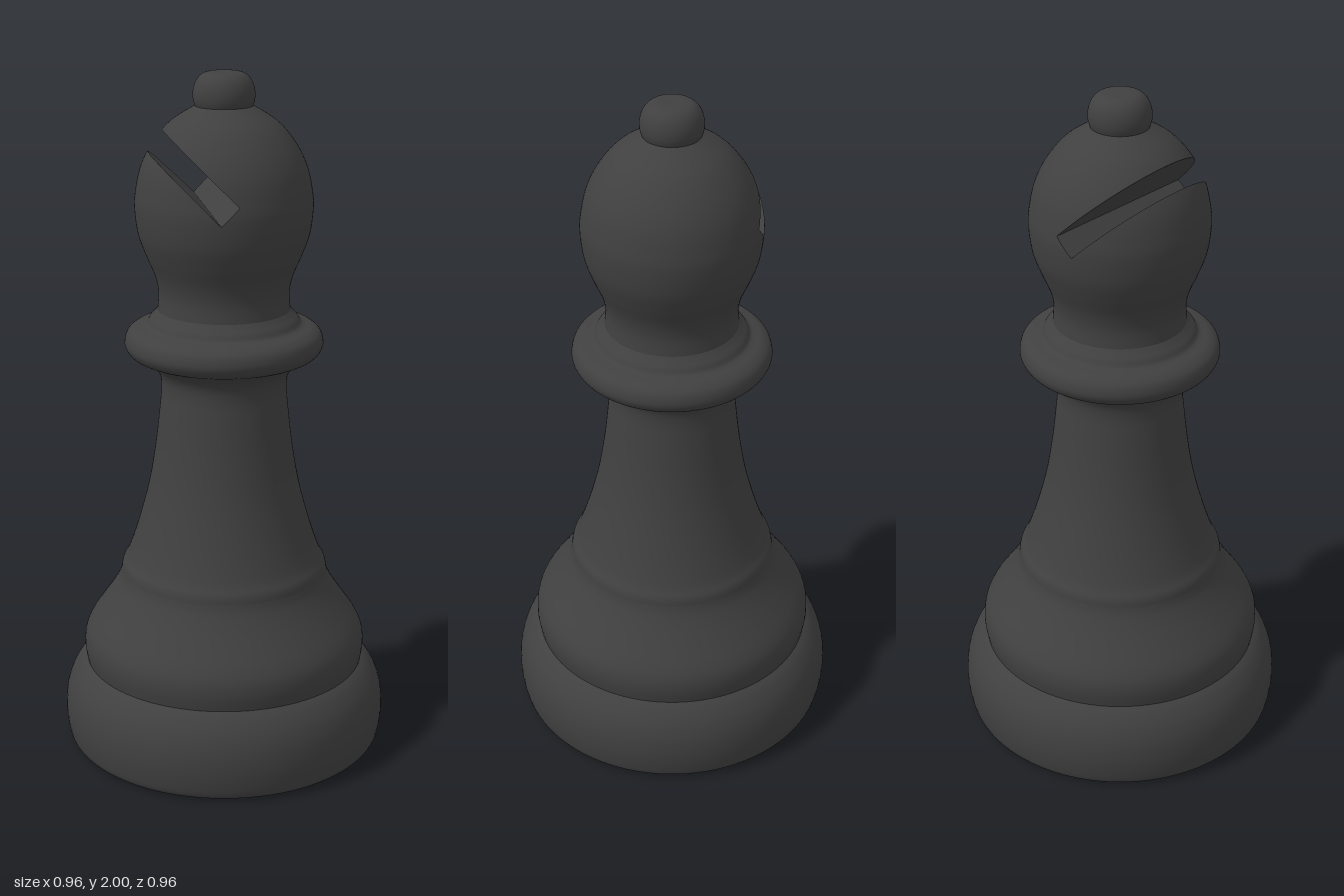
import * as THREE from 'three';

const SEGMENTS = 96;
const material = new THREE.MeshStandardMaterial({ color: 0x404040 });

// Smooth profile through [radius, height] points, listed from bottom to top
function profile(points, samples) {
  const curve = new THREE.SplineCurve(points.map(([r, y]) => new THREE.Vector2(r, y)));
  return curve.getPoints(samples).map((p) => p.setX(Math.max(p.x, 0)));
}

function turned(name, points, samples = 40) {
  const mesh = new THREE.Mesh(new THREE.LatheGeometry(profile(points, samples), SEGMENTS), material);
  mesh.name = name;
  return mesh;
}

// Slot limits: between two 45 degree planes (x + y) and above a floor (y - x)
const SLOT = { low: 1.57, high: 1.67, floor: 1.667 };
const slotPlanes = [
  (p) => p[0] + p[1] - SLOT.low,
  (p) => SLOT.high - p[0] - p[1],
  (p) => p[1] - p[0] - SLOT.floor,
];

// Part of a polygon on the positive side of a plane (vertices are [x,y,z,nx,ny,nz])
function clip(poly, dist) {
  const out = [];
  poly.forEach((a, i) => {
    const b = poly[(i + 1) % poly.length];
    const da = dist(a), db = dist(b);
    if (da >= 0) out.push(a);
    if (da * db < 0) out.push(a.map((v, k) => v + (b[k] - v) * (da / (da - db))));
  });
  return out;
}

// Removes the slot volume from a geometry's surface
function cutSlot(source) {
  const g = source.toNonIndexed();
  const { position, normal } = g.attributes;
  const pos = [], nor = [];
  const emit = (poly) => {
    for (let i = 1; i + 1 < poly.length; i++) {
      for (const v of [poly[0], poly[i], poly[i + 1]]) {
        pos.push(v[0], v[1], v[2]);
        nor.push(v[3], v[4], v[5]);
      }
    }
  };
  for (let i = 0; i < position.count; i += 3) {
    let poly = [0, 1, 2].map((k) => [
      ...new THREE.Vector3().fromBufferAttribute(position, i + k),
      ...new THREE.Vector3().fromBufferAttribute(normal, i + k),
    ]);
    const inSlot = slotPlanes.reduce(clip, poly);
    if (inSlot.length < 3) { emit(poly); continue; }
    for (const plane of slotPlanes) {
      emit(clip(poly, (p) => -plane(p)));
      poly = clip(poly, plane);
    }
  }
  const out = new THREE.BufferGeometry();
  out.setAttribute('position', new THREE.Float32BufferAttribute(pos, 3));
  out.setAttribute('normal', new THREE.Float32BufferAttribute(nor, 3));
  return out;
}

// Flat slot face spanning the head in z, following a line in the xy plane
function slotFace(name, from, to, radiusAt, steps) {
  const pos = [], index = [];
  for (let i = 0; i <= steps; i++) {
    const x = THREE.MathUtils.lerp(from[0], to[0], i / steps);
    const y = THREE.MathUtils.lerp(from[1], to[1], i / steps);
    const w = Math.sqrt(Math.max(radiusAt(y) ** 2 - x * x, 0));
    pos.push(x, y, w, x, y, -w);
    const a = 2 * i;
    if (i < steps) index.push(a, a + 2, a + 1, a + 1, a + 2, a + 3);
  }
  const g = new THREE.BufferGeometry();
  g.setAttribute('position', new THREE.Float32BufferAttribute(pos, 3));
  g.setIndex(index);
  g.computeVertexNormals();
  const wallMaterial = material.clone();
  wallMaterial.side = THREE.DoubleSide;
  const mesh = new THREE.Mesh(g, wallMaterial);
  mesh.name = name;
  return mesh;
}

function createHead() {
  const head = new THREE.Group();
  head.name = 'head';
  const points = profile([
    [0.19, 1.33], [0.187, 1.38], [0.197, 1.43], [0.222, 1.49], [0.243, 1.55], [0.252, 1.62],
    [0.249, 1.67], [0.233, 1.74], [0.2, 1.805], [0.15, 1.863], [0.08, 1.908],
  ], 60);
  const shell = new THREE.Mesh(cutSlot(new THREE.LatheGeometry(points, SEGMENTS)), material);
  shell.name = 'headShell';
  head.add(shell);

  const radiusAt = (y) => {
    const i = Math.max(1, points.findIndex((p) => p.y >= y));
    const a = points[i - 1], b = points[i];
    return a.x + (b.x - a.x) * (y - a.y) / (b.y - a.y);
  };
  // Point on a slot wall, given x + y and y - x
  const at = (sum, diff) => [(sum - diff) / 2, (sum + diff) / 2];
  // Where a slot wall meets the outside of the head
  const rim = (sum) => {
    let inside = SLOT.floor, outside = 2.1;
    for (let i = 0; i < 40; i++) {
      const mid = (inside + outside) / 2;
      const [x, y] = at(sum, mid);
      if (radiusAt(y) > Math.abs(x)) inside = mid;
      else outside = mid;
    }
    return at(sum, inside);
  };
  const lowIn = at(SLOT.low, SLOT.floor), highIn = at(SLOT.high, SLOT.floor);
  head.add(
    slotFace('slotLowerWall', rim(SLOT.low), lowIn, radiusAt, 48),
    slotFace('slotFloor', lowIn, highIn, radiusAt, 12),
    slotFace('slotUpperWall', highIn, rim(SLOT.high), radiusAt, 48),
  );
  return head;
}

export function createModel() {
  const model = new THREE.Group();
  model.name = 'chessBishop';

  // Foot and its flat underside
  model.add(turned('base', [
    [0.44, 0], [0.46, 0.008], [0.472, 0.03], [0.48, 0.09], [0.476, 0.15], [0.46, 0.2], [0.435, 0.238], [0.413, 0.258],
  ]));
  const underside = new THREE.Mesh(new THREE.CircleGeometry(0.44, SEGMENTS).rotateX(Math.PI / 2), material);
  underside.name = 'underside';
  model.add(underside);

  // Body
  model.add(turned('lowerBody', [
    [0.413, 0.258], [0.419, 0.3], [0.415, 0.34], [0.398, 0.377], [0.365, 0.425], [0.335, 0.47], [0.313, 0.51], [0.305, 0.535],
  ]));
  model.add(turned('stem', [
    [0.305, 0.535], [0.3, 0.56], [0.282, 0.595], [0.253, 0.68], [0.221, 0.8], [0.2, 0.92], [0.186, 1.04],
    [0.181, 1.1], [0.187, 1.14], [0.21, 1.172], [0.24, 1.187],
  ], 56));

  // Collar and the small ring above it
  model.add(turned('collar', [
    [0.24, 1.187], [0.268, 1.2], [0.283, 1.22], [0.285, 1.24], [0.277, 1.262], [0.258, 1.277], [0.235, 1.284],
  ], 32));
  model.add(turned('neckRing', [
    [0.235, 1.284], [0.222, 1.29], [0.212, 1.305], [0.2, 1.318], [0.19, 1.33],
  ], 20));

  model.add(createHead());

  // Knob on top
  model.add(turned('finial', [
    [0.08, 1.905], [0.086, 1.925], [0.086, 1.95], [0.078, 1.975], [0.062, 1.993], [0.04, 2], [0, 2],
  ], 32));
  return model;
}
